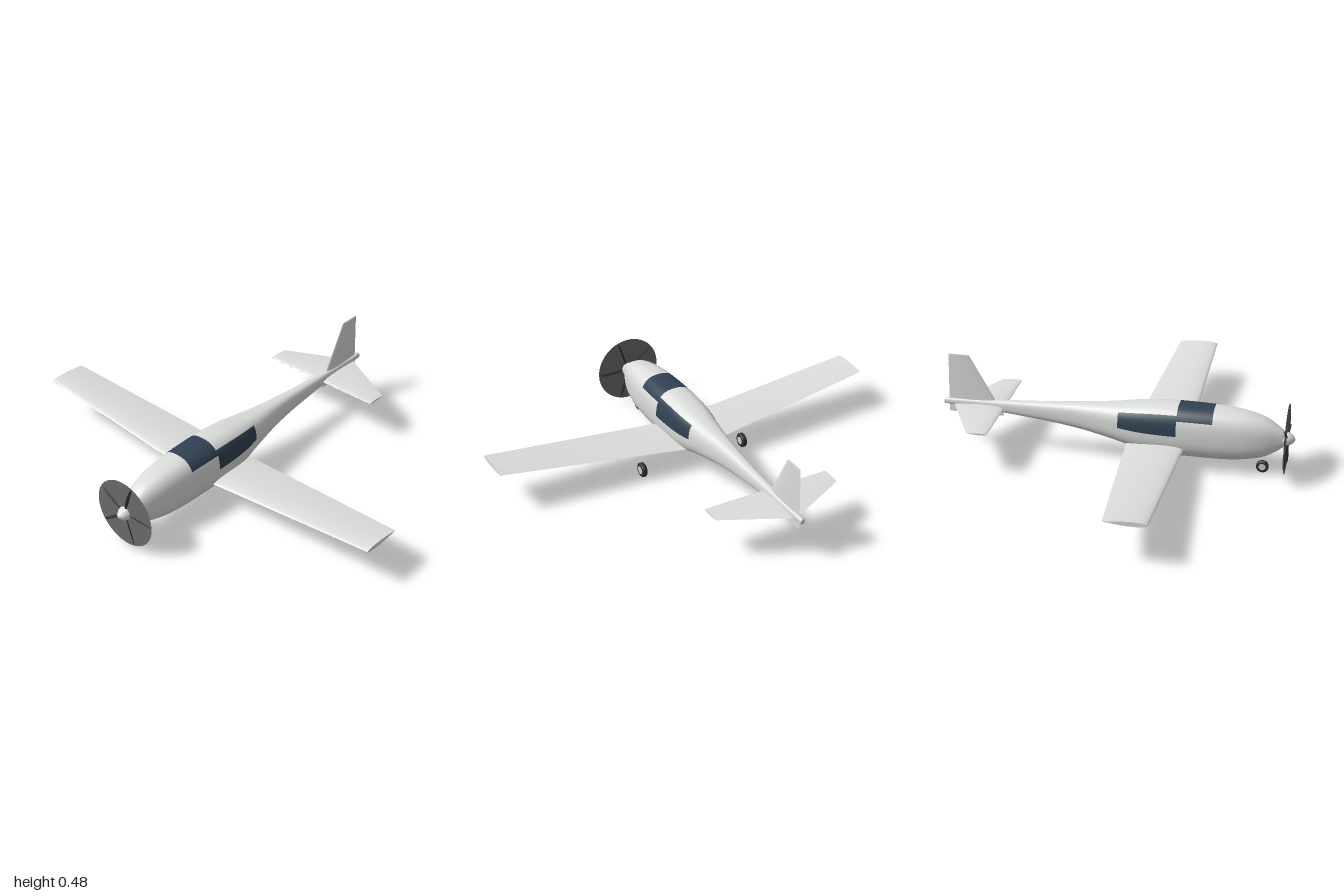
import * as THREE from 'three';
import { toCreasedNormals } from 'three/addons/utils/BufferGeometryUtils.js';

const makeMaterial = (name, color, opts = {}) => {
  const m = new THREE.MeshStandardMaterial({ color, ...opts });
  m.name = name;
  return m;
};

// Closed skin through rings of equal length; isMarked(ring, segment) picks the second material
function loft(rings, isMarked = () => false) {
  const n = rings[0].length, last = rings.length - 1;
  const points = rings.flat();
  const centre = (ring) => ring.reduce((s, p) => s.add(p), new THREE.Vector3()).divideScalar(n);
  points.push(centre(rings[0]), centre(rings[last]));
  const start = points.length - 2, end = points.length - 1;
  const plain = [], marked = [];
  for (let i = 0; i < n; i++) {
    const k = (i + 1) % n;
    for (let r = 0; r < last; r++) {
      const a = r * n + i, b = r * n + k, c = b + n, d = a + n;
      (isMarked(r, i) ? marked : plain).push(a, b, c, a, c, d);
    }
    plain.push(start, k, i, end, last * n + i, last * n + k);
  }
  const g = new THREE.BufferGeometry().setFromPoints(points);
  g.setIndex([...plain, ...marked]);
  if (marked.length) {
    g.addGroup(0, plain.length, 0);
    g.addGroup(plain.length, marked.length, 1);
  }
  g.computeVertexNormals();
  return g;
}

// Airfoil section: place(z, t) turns chord position and half thickness into a point
function airfoil(front, back, thickness, place) {
  return Array.from({ length: 28 }, (_, i) => {
    const a = (i / 28) * Math.PI * 2;
    const s = (1 - Math.cos(a)) / 2;
    const t = (thickness / 2) * Math.sin(a) * 1.3 * Math.sqrt(1 - s);
    return place(front + (back - front) * s, t);
  });
}

// Fuselage stations: z, top, bottom, half width
const STATIONS = [
  [-0.86, 0.243, 0.215, 0.012],
  [-0.5, 0.258, 0.187, 0.025],
  [-0.2, 0.278, 0.152, 0.046],
  [0, 0.296, 0.112, 0.078],
  [0.1, 0.31, 0.086, 0.096],
  [0.2, 0.32, 0.071, 0.104],
  [0.4, 0.323, 0.065, 0.105],
  [0.55, 0.316, 0.066, 0.097],
  [0.65, 0.302, 0.077, 0.084],
  [0.73, 0.276, 0.098, 0.063],
  [0.785, 0.24, 0.131, 0.04],
  [0.815, 0.217, 0.153, 0.027],
];
const SEGMENTS = 48;

function fuselageGeometry() {
  const curve = new THREE.CubicInterpolant(
    STATIONS.map((s) => s[0]), STATIONS.flatMap((s) => s.slice(1)), 3);
  // Rings fall exactly on the window edges
  const zs = [];
  const stops = [[-0.86, 24], [0.02, 9], [0.305, 6], [0.475, 16], [0.815, 0]];
  stops.forEach(([z, count], i) => {
    for (let k = 0; k < count; k++) zs.push(z + ((stops[i + 1][0] - z) * k) / count);
  });
  zs.push(0.815);
  const bulge = (v) => Math.sign(v) * Math.abs(v) ** (2 / 2.6);
  const rings = zs.map((z) => {
    const [top, bottom, half] = curve.evaluate(z);
    return Array.from({ length: SEGMENTS }, (_, i) => {
      const a = (i / SEGMENTS) * Math.PI * 2;
      return new THREE.Vector3(half * bulge(Math.cos(a)),
        (top + bottom) / 2 + ((top - bottom) / 2) * bulge(Math.sin(a)), z);
    });
  });
  // Windscreen over the top, side windows behind it
  return loft(rings, (r, i) => {
    const z = (zs[r] + zs[r + 1]) / 2;
    if (z > 0.305 && z < 0.475) return i >= 4 && i < 20;
    if (z > 0.02 && z < 0.305) return i < 6 || (i >= 18 && i < 24);
    return false;
  });
}

export function createModel() {
  const body = makeMaterial('body paint', 0xdcdedb);
  const glass = makeMaterial('window glass', 0x314152);
  const rubber = makeMaterial('dark rubber', 0x303030);
  const disc = makeMaterial('propeller disc', 0x6b6b6b, { side: THREE.DoubleSide });
  const metal = makeMaterial('wheel hub', 0xcfcfcf);

  const model = new THREE.Group();
  model.name = 'aircraft';
  const add = (name, geometry, material, parent = model) => {
    const mesh = new THREE.Mesh(geometry, material);
    mesh.name = name;
    parent.add(mesh);
    return mesh;
  };

  add('fuselage', fuselageGeometry(), [body, glass]);

  // Wing and tailplane: tip, root, tip
  const span = (half, front, rootBack, tipBack, rootY, tipY, rootT, tipT) =>
    toCreasedNormals(loft([1, 0, -1].map((side) => {
      const tip = side !== 0;
      return airfoil(front, tip ? tipBack : rootBack, tip ? tipT : rootT,
        (z, t) => new THREE.Vector3(side * half, (tip ? tipY : rootY) + t, z));
    })), 0.9);
  add('wing', span(1, 0.343, 0.055, 0.145, 0.115, 0.219, 0.036, 0.022), body);
  add('tailplane', span(0.318, -0.555, -0.815, -0.655, 0.22, 0.22, 0.022, 0.01), body);

  // Fin, from below the tail cone to its top
  const fin = [[0.175, -0.56, -0.837, 0.022], [0.478, -0.727, -0.83, 0.009]].map(
    ([y, front, back, thick]) =>
      airfoil(front, back, thick, (z, t) => new THREE.Vector3(t, y, z)));
  add('fin', toCreasedNormals(loft(fin), 0.9), body);

  // Propeller
  const propeller = new THREE.Group();
  propeller.name = 'propeller';
  propeller.position.set(0, 0.187, 0.82);
  model.add(propeller);
  add('propellerDisc', new THREE.CircleGeometry(0.168, 64), disc, propeller);
  const spinnerProfile = [[0.034, -0.025], [0.034, 0], [0.029, 0.015], [0.018, 0.031], [0, 0.041]]
    .map(([r, y]) => new THREE.Vector2(r, y));
  add('spinner', new THREE.LatheGeometry(spinnerProfile, 32).rotateX(Math.PI / 2), body, propeller);
  const bladeGeometry = new THREE.SphereGeometry(1, 20, 10).scale(0.073, 0.011, 0.003)
    .rotateX(0.75).translate(0.093, 0, 0);
  for (let i = 0; i < 5; i++) {
    add('blade', bladeGeometry, rubber, propeller).rotation.z = (i / 5) * Math.PI * 2;
  }

  // Wheels
  const wheel = (name, x, z, radius, width) => {
    const group = new THREE.Group();
    group.name = name;
    group.position.set(x, radius, z);
    model.add(group);
    const w = width / 2, inner = radius * 0.55;
    const profile = [[inner, -w], [radius * 0.86, -w], [radius, -w * 0.6], [radius, w * 0.6],
      [radius * 0.86, w], [inner, w]].map(([r, y]) => new THREE.Vector2(r, y));
    add('tyre', toCreasedNormals(new THREE.LatheGeometry(profile, 24).rotateZ(-Math.PI / 2), 0.6),
      rubber, group);
    add('hub', new THREE.CylinderGeometry(inner, inner, width + 0.002, 24).rotateZ(Math.PI / 2),
      metal, group);
  };
  wheel('noseWheel', 0, 0.71, 0.03, 0.02);
  for (const side of [1, -1]) {
    wheel(side > 0 ? 'leftWheel' : 'rightWheel', side * 0.28, 0.125, 0.036, 0.025);
  }
  return model;
}
